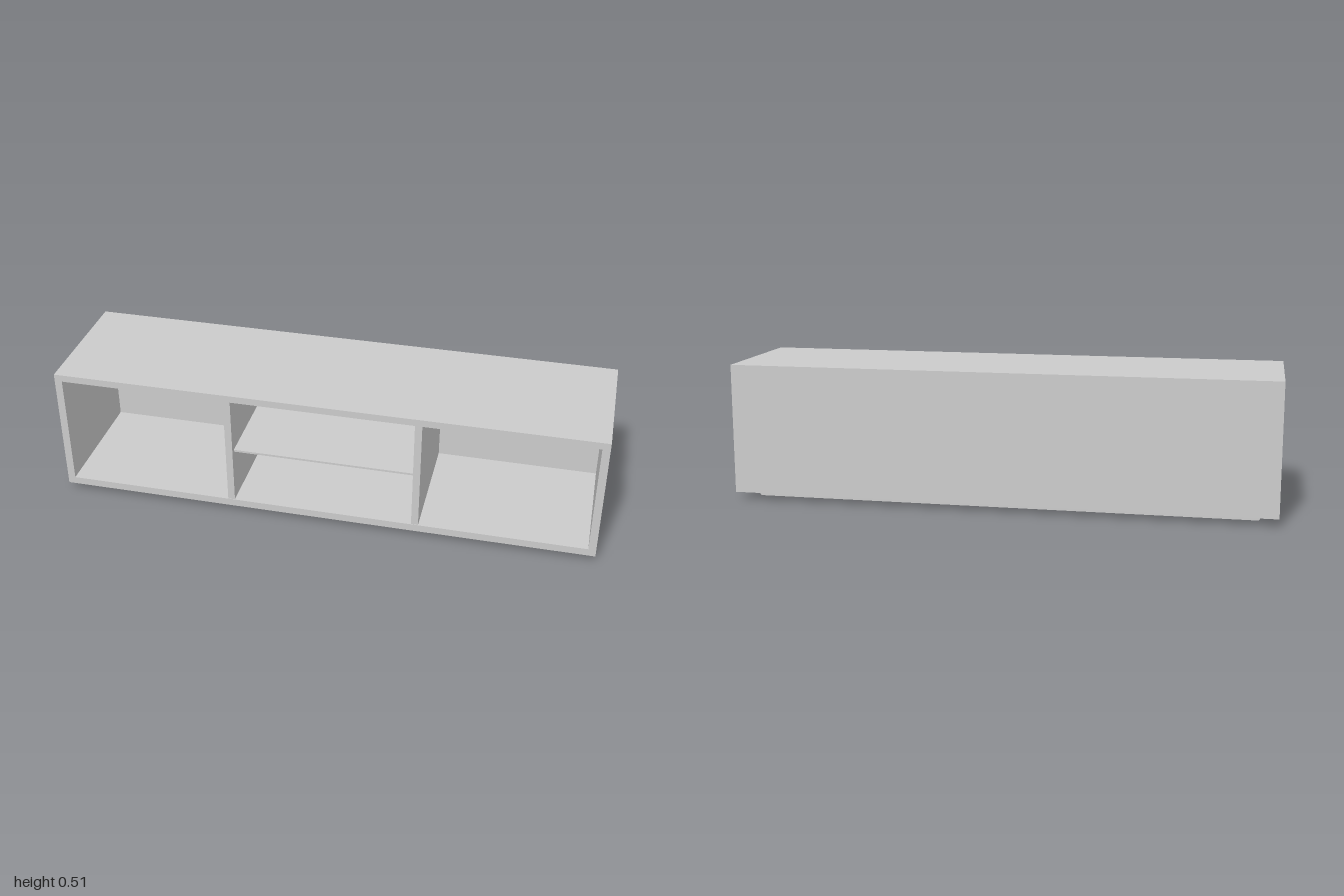
import * as THREE from 'three';

const material = new THREE.MeshStandardMaterial({ color: 0xcccccc });

// Flat outline from [x, y] corners
const outline = (points) => points.map(([x, y]) => new THREE.Vector2(x, y));
const rect = (x, y0, y1) => outline([[-x, y0], [x, y0], [x, y1], [-x, y1]]);

export function createModel() {
  const group = new THREE.Group();

  const add = (name, geometry, x = 0, y = 0, z = 0) => {
    const mesh = new THREE.Mesh(geometry, material);
    mesh.name = name;
    mesh.position.set(x, y, z);
    group.add(mesh);
  };
  const extrude = (shape, depth) =>
    new THREE.ExtrudeGeometry(shape, { depth, bevelEnabled: false });

  // Outer casing: a rectangular tube open at the front
  const frame = new THREE.Shape(rect(1, 0.028, 0.51));
  frame.holes.push(new THREE.Path(rect(0.972, 0.056, 0.484)));
  add('casing', extrude(frame, 0.475), 0, 0, -0.225);

  // Back panel closing the casing
  add('backPanel', new THREE.BoxGeometry(2, 0.482, 0.025), 0, 0.269, -0.2375);

  // Two upright dividers, running the full depth
  for (const side of [-1, 1]) {
    add(side > 0 ? 'leftDivider' : 'rightDivider',
      new THREE.BoxGeometry(0.026, 0.428, 0.473), side * 0.347, 0.27, 0.0115);
  }

  // Thin shelf between the dividers
  add('shelf', new THREE.BoxGeometry(0.668, 0.008, 0.455), 0, 0.264, 0.0025);

  // Recessed plinth with slanted ends
  const plinth = new THREE.Shape(outline([[-0.93, 0], [0.93, 0], [0.95, 0.028], [-0.95, 0.028]]));
  add('plinth', extrude(plinth, 0.35), 0, 0, -0.175);

  return group;
}
